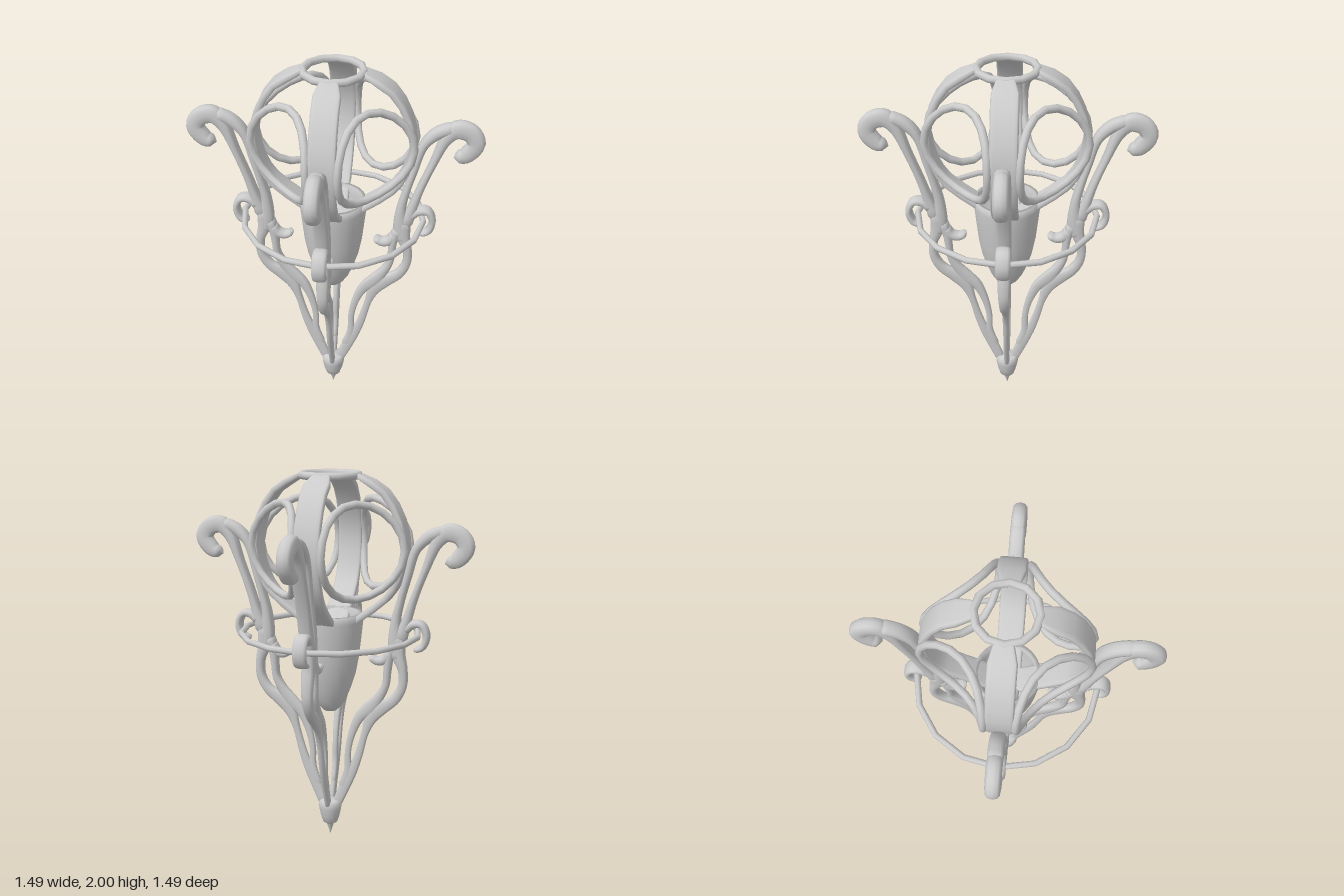
import * as THREE from 'three';

const material = new THREE.MeshStandardMaterial({ color: 0xcccccc, side: THREE.DoubleSide });

function add(parent, name, geometry) {
  const mesh = new THREE.Mesh(geometry, material);
  mesh.name = name;
  parent.add(mesh);
  return mesh;
}

// Strand lying in the x-y plane. Points are [x, y, half width]; depth(y) is the half
// thickness along z; a smaller power gives a squarer section.
function strand(points, depth, samples, power = 0.75, sides = 12) {
  const curve = new THREE.CatmullRomCurve3(points.map(p => new THREE.Vector3(...p)), false, 'centripetal');
  const pos = [], index = [];
  const bend = v => Math.sign(v) * Math.abs(v) ** power;
  // Rounded ends: the first and last rings close to a point
  const steps = [[0, 0], [0, 0.7]];
  for (let i = 1; i < samples; i++) steps.push([i / samples, 1]);
  steps.push([1, 0.7], [1, 0]);
  for (const [t, scale] of steps) {
    const p = curve.getPoint(t);
    const tan = curve.getTangent(t).setZ(0).normalize();
    const push = scale === 1 ? 0 : (t ? 1 : -1) * p.z * (scale ? 0 : 0.6);
    for (let j = 0; j < sides; j++) {
      const a = j / sides * Math.PI * 2;
      const n = bend(Math.cos(a)) * p.z * scale;
      pos.push(p.x - tan.y * n + tan.x * push, p.y + tan.x * n + tan.y * push,
        bend(Math.sin(a)) * depth(p.y) * scale);
    }
  }
  for (let i = 0; i < steps.length - 1; i++) {
    for (let j = 0; j < sides; j++) {
      const k = (j + 1) % sides;
      const a = i * sides + j, b = i * sides + k;
      index.push(a, b, a + sides, b, b + sides, a + sides);
    }
  }
  const g = new THREE.BufferGeometry();
  g.setAttribute('position', new THREE.Float32BufferAttribute(pos, 3));
  g.setIndex(index);
  g.computeVertexNormals();
  return g;
}

const lathe = (profile, sides) =>
  new THREE.LatheGeometry(profile.map(p => new THREE.Vector2(...p)), sides);

// Arms thin out towards the finial
const armDepth = y => THREE.MathUtils.lerp(0.015, 0.037, THREE.MathUtils.smoothstep(y, 0.5, 1.2));

const armStrands = {
  scroll: [[0.61, 1.56, 0.026], [0.655, 1.575, 0.04], [0.7, 1.64, 0.045], [0.67, 1.695, 0.046],
    [0.605, 1.71, 0.046], [0.555, 1.66, 0.032], [0.5, 1.52, 0.02], [0.445, 1.37, 0.02],
    [0.412, 1.26, 0.025], [0.375, 1.14, 0.038]],
  innerStem: [[0.59, 1.72, 0.03], [0.51, 1.685, 0.03], [0.45, 1.62, 0.024], [0.41, 1.48, 0.02],
    [0.375, 1.35, 0.02], [0.352, 1.24, 0.026], [0.355, 1.12, 0.04], [0.37, 1.04, 0.03]],
  ringHook: [[0.4, 1.2, 0.025], [0.44, 1.235, 0.022], [0.487, 1.236, 0.019], [0.515, 1.18, 0.018],
    [0.497, 1.12, 0.018], [0.455, 1.1, 0.014]],
  lowerStem: [[0.365, 1.18, 0.042], [0.37, 1.07, 0.036], [0.394, 0.99, 0.024], [0.394, 0.9, 0.024],
    [0.355, 0.825, 0.028], [0.285, 0.77, 0.036], [0.228, 0.71, 0.034], [0.195, 0.62, 0.02],
    [0.16, 0.49, 0.022], [0.125, 0.39, 0.026], [0.075, 0.28, 0.03], [0.035, 0.18, 0.025]],
  innerLoop: [[0.345, 1.12, 0.03], [0.32, 1.05, 0.025], [0.312, 0.97, 0.02], [0.305, 0.9, 0.02],
    [0.27, 0.83, 0.026], [0.22, 0.765, 0.036], [0.165, 0.71, 0.028], [0.122, 0.61, 0.02],
    [0.1, 0.5, 0.017], [0.1, 0.4, 0.02], [0.07, 0.28, 0.03]],
  thorn: [[0.33, 1.08, 0.028], [0.3, 1.04, 0.026], [0.26, 1.028, 0.022], [0.22, 1.045, 0.015]],
};

const ribPoints = [[0.15, 1.98, 0.018], [0.285, 1.9, 0.018], [0.37, 1.76, 0.018], [0.398, 1.62, 0.018],
  [0.368, 1.47, 0.018], [0.305, 1.365, 0.018], [0.165, 1.255, 0.018], [0.08, 1.19, 0.015], [0, 1.17, 0.015]];

// Round window hoop, bent so its sides meet the neighbouring ribs
function windowHoop() {
  const points = [];
  for (let i = 0; i < 16; i++) {
    const t = i / 16 * Math.PI * 2, c = Math.cos(t);
    points.push(new THREE.Vector3(0.26 + 0.08 * c * c, 1.62 + 0.235 * Math.sin(t), 0.235 * c));
  }
  const curve = new THREE.CatmullRomCurve3(points, true);
  return new THREE.TubeGeometry(curve, 20, 0.02, 8, true);
}

export function createModel() {
  const model = new THREE.Group();
  model.name = 'ornament';

  // Four arms, cage ribs and window hoops around the axis
  const rib = strand(ribPoints, () => 0.067, 16, 0.4, 16);
  const hoop = windowHoop();
  const arms = Object.entries(armStrands).map(([name, pts]) => [name, strand(pts, armDepth, pts.length * 4)]);
  for (let i = 0; i < 4; i++) {
    const arm = new THREE.Group();
    arm.name = 'arm';
    for (const [name, geometry] of arms) add(arm, name, geometry);
    arm.rotation.y = i * Math.PI / 2;
    model.add(arm);
    add(model, 'cageRib', rib).rotation.y = i * Math.PI / 2;
    add(model, 'windowHoop', hoop).rotation.y = (i + 0.5) * Math.PI / 2;
  }

  // Collar on top of the cage
  const collar = add(model, 'topCollar', new THREE.TorusGeometry(0.148, 0.02, 8, 12));
  collar.rotation.x = Math.PI / 2;
  collar.position.y = 1.98;

  // Hoop held by the arm hooks
  const hookRing = add(model, 'hookRing', new THREE.TorusGeometry(0.468, 0.016, 8, 16));
  hookRing.rotation.x = Math.PI / 2;
  hookRing.position.y = 1.168;

  // Open cup below the cage
  add(model, 'cup', lathe([[0, 0.73], [0.035, 0.735], [0.06, 0.76], [0.085, 0.8], [0.11, 0.86], [0.135, 0.94],
    [0.152, 1.03], [0.165, 1.15], [0.174, 1.235], [0.17, 1.272], [0.15, 1.272], [0.15, 1.22],
    [0.135, 1.03], [0.09, 0.86], [0, 0.77]], 24));

  // Bottom finial with its spike
  add(model, 'finial', lathe([[0, 0], [0.007, 0.025], [0.018, 0.06], [0.022, 0.07], [0.04, 0.08], [0.053, 0.12],
    [0.062, 0.165], [0.064, 0.195], [0.05, 0.21], [0, 0.22]], 16));
  return model;
}
